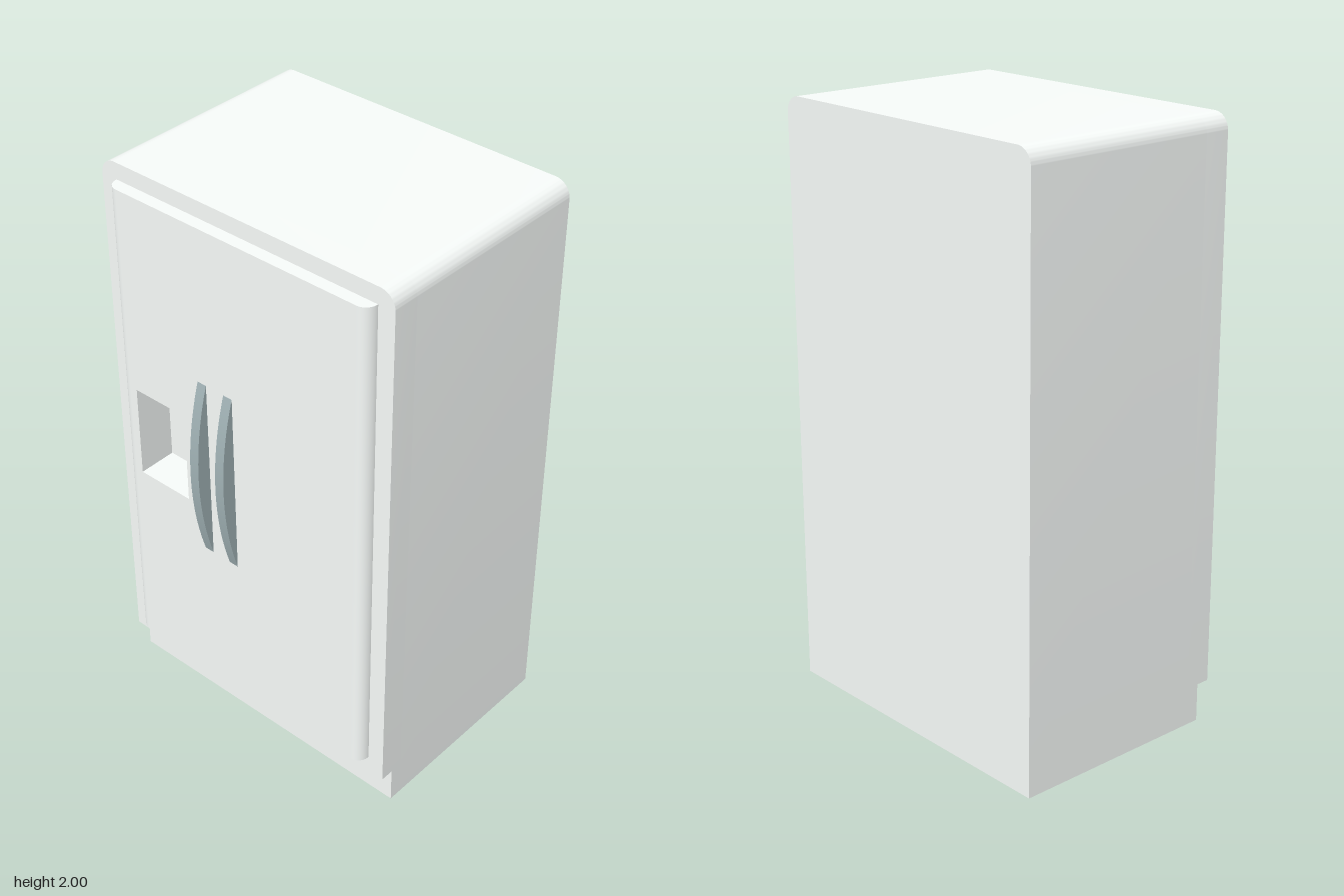
import * as THREE from 'three';
import { toCreasedNormals } from 'three/addons/utils/BufferGeometryUtils.js';

const W = 0.565, TOP = 2, R = 0.055;                // cabinet half width, height, corner radius
const BACK = -0.442, FRONT = 0.347, DOOR = 0.39;    // depth planes
const RECESS = { x0: -0.437, x1: -0.226, y0: 0.903, y1: 1.232, z: 0.255 };
const KICK = { y: 0.13, z: 0.3 };

export function createModel() {
  const model = new THREE.Group();
  const enamel = new THREE.MeshStandardMaterial({ color: 0xf7fbf9 });
  const steel = new THREE.MeshStandardMaterial({ color: 0x9fb0b3 });

  const add = (name, geometry, material = enamel) => {
    const mesh = new THREE.Mesh(geometry, material);
    mesh.name = name;
    model.add(mesh);
  };

  // Extrude a shape between two z planes, smooth across the rounded corners only
  const slab = (shape, z0, z1) => {
    const g = new THREE.ExtrudeGeometry(shape, { depth: z1 - z0, bevelEnabled: false, curveSegments: 12 });
    return toCreasedNormals(g.translate(0, 0, z0), 0.6);
  };

  // Rectangle, or a cabinet outline when a top corner radius is given
  const outline = (x0, x1, y0, y1, r = 0) => {
    const s = new THREE.Shape();
    s.moveTo(x0, y0);
    s.lineTo(x1, y0);
    if (r) {
      s.lineTo(x1, y1 - r);
      s.absarc(x1 - r, y1 - r, r, 0, Math.PI / 2, false);
      s.absarc(x0 + r, y1 - r, r, Math.PI / 2, Math.PI, false);
    } else {
      s.lineTo(x1, y1);
      s.lineTo(x0, y1);
    }
    s.closePath();
    return s;
  };

  const withRecess = (shape) => {
    const { x0, x1, y0, y1 } = RECESS;
    shape.holes.push(new THREE.Path([
      new THREE.Vector2(x0, y0), new THREE.Vector2(x0, y1),
      new THREE.Vector2(x1, y1), new THREE.Vector2(x1, y0),
    ]));
    return shape;
  };

  // Side profile given as [z, y] points, extruded across x
  const sideProfile = (shape, x0, x1) => {
    const g = new THREE.ExtrudeGeometry(shape, { depth: x1 - x0, bevelEnabled: false, curveSegments: 12 });
    g.rotateY(-Math.PI / 2);                         // shape x -> z, depth -> -x
    return toCreasedNormals(g.translate(x1, 0, 0), 0.25);
  };

  // Cabinet: rear block closes the dispenser recess, front frame is cut through
  add('cabinetRear', slab(outline(-W, W, 0, TOP, R), BACK, RECESS.z));
  add('cabinetFront', slab(withRecess(outline(-W, W, KICK.y, TOP, R)), RECESS.z, FRONT));
  add('kickPlate', slab(outline(-W, W, 0, KICK.y), RECESS.z, KICK.z));

  // Door: flat panel with quarter-round vertical edges
  const edge = 0.04, half = 0.505 - edge, y0 = 0.193, y1 = 1.943;
  add('doorPanel', slab(withRecess(outline(-half, half, y0, y1)), FRONT, DOOR));
  for (const [name, side, theta] of [['doorEdgeLeft', 1, 0], ['doorEdgeRight', -1, Math.PI * 1.5]]) {
    const g = new THREE.CylinderGeometry(1, 1, y1 - y0, 6, 1, false, theta, Math.PI / 2);
    g.scale(edge, 1, DOOR - FRONT);
    add(name, g.translate(side * half, (y0 + y1) / 2, FRONT));
  }

  // Dispenser spout: wedge under the recess ceiling
  const spout = new THREE.Shape();
  spout.moveTo(RECESS.z, 1.137);
  spout.lineTo(0.36, RECESS.y1);
  spout.lineTo(RECESS.z, RECESS.y1);
  spout.closePath();
  add('dispenserSpout', sideProfile(spout, -0.36, -0.305));

  // Handles: bowed crescents standing off the door
  const h0 = 0.737, h1 = 1.397, bow = 0.05, chord = (h1 - h0) / 2;
  const radius = (chord * chord + bow * bow) / (2 * bow);
  const angle = Math.asin(chord / radius);
  const crescent = new THREE.Shape();
  crescent.absarc(DOOR + bow - radius, (h0 + h1) / 2, radius, -angle, angle, false);
  crescent.closePath();
  for (const [name, x] of [['handleRight', -0.159], ['handleLeft', -0.052]]) {
    add(name, sideProfile(crescent, x, x + 0.035), steel);
  }

  return model;
}
